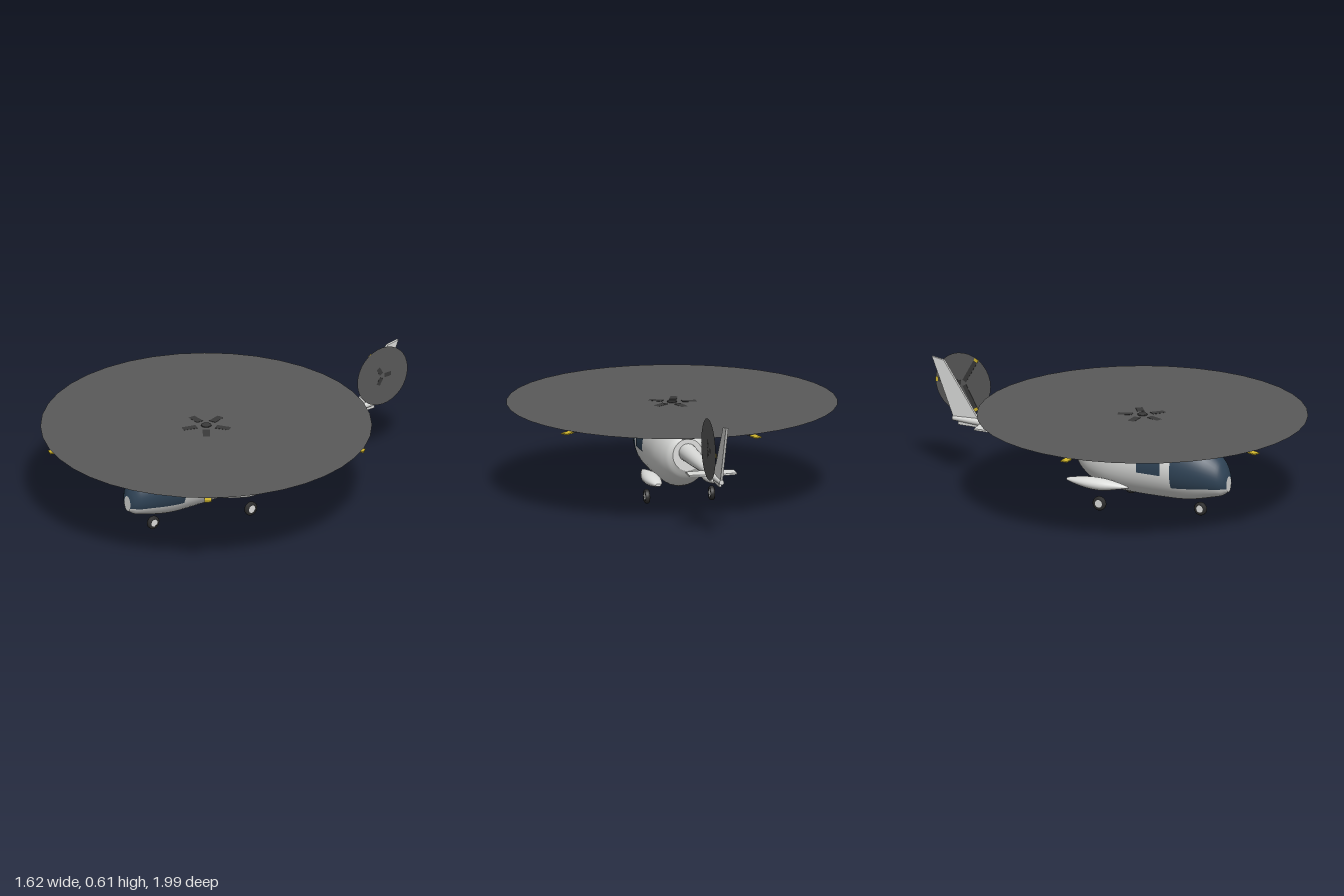
import * as THREE from 'three';

const mat = (name, color, side = THREE.FrontSide) => {
  const m = new THREE.MeshStandardMaterial({ color, side });
  m.name = name;
  return m;
};

// Smooth loft through stations [z, halfWidth, top, bottom], listed front to rear.
// pick(z, j) returns the material index of each quad.
function loft(stations, { sides = 36, steps = 3, pick = () => 0 } = {}) {
  const curve = f => new THREE.CatmullRomCurve3(stations.map(f), false, 'catmullrom', 0.4);
  const spine = curve(s => new THREE.Vector3(s[0], s[2], s[3]));
  const width = curve(s => new THREE.Vector3(s[1], 0, 0));
  const count = (stations.length - 1) * steps;
  const pos = [], faces = [[], []];
  const addRing = i => {
    const p = spine.getPoint(i / count), w = width.getPoint(i / count).x;
    for (let j = 0; j < sides; j++) {
      const a = -Math.PI / 2 + (j / sides) * Math.PI * 2;
      pos.push(w * Math.cos(a), (p.y + p.z) / 2 + ((p.y - p.z) / 2) * Math.sin(a), p.x);
    }
    return p;
  };
  const rings = [];
  for (let i = 0; i <= count; i++) rings.push(addRing(i).x);
  for (let i = 0; i < count; i++) {
    for (let j = 0; j < sides; j++) {
      const k = (j + 1) % sides, a = i * sides, b = a + sides;
      faces[pick((rings[i] + rings[i + 1]) / 2, j)].push(a + j, b + j, a + k, a + k, b + j, b + k);
    }
  }
  // flat end caps with their own vertices
  for (const end of [0, count]) {
    const start = pos.length / 3, p = addRing(end), c = pos.length / 3;
    pos.push(0, (p.y + p.z) / 2, p.x);
    for (let j = 0; j < sides; j++) {
      const k = (j + 1) % sides;
      faces[0].push(c, start + (end ? k : j), start + (end ? j : k));
    }
  }
  const g = new THREE.BufferGeometry();
  g.setAttribute('position', new THREE.Float32BufferAttribute(pos, 3));
  g.setIndex([...faces[0], ...faces[1]]);
  g.addGroup(0, faces[0].length, 0);
  if (faces[1].length) g.addGroup(faces[0].length, faces[1].length, 1);
  g.computeVertexNormals();
  return g;
}

export function createModel() {
  const model = new THREE.Group();
  model.name = 'helicopter';
  const paint = mat('body paint', 0xdcdddb);
  const glass = mat('tinted glass', 0x2f4356, THREE.DoubleSide);
  const blur = mat('rotor grey', 0x5a5a5a, THREE.DoubleSide);
  const dark = mat('rotor dark', 0x3a3a3a);
  const yellow = mat('blade tip yellow', 0xd2b72c);
  const rubber = mat('tyre rubber', 0x2c2c2c);

  const add = (parent, name, geometry, material, x = 0, y = 0, z = 0) => {
    const m = new THREE.Mesh(geometry, material);
    m.name = name;
    m.position.set(x, y, z);
    parent.add(m);
    return m;
  };

  // Fuselage with the glazed cockpit as a material group
  add(model, 'fuselage', loft([
    [0.665, 0.025, 0.22, 0.14], [0.655, 0.045, 0.25, 0.135], [0.63, 0.07, 0.295, 0.118],
    [0.57, 0.101, 0.347, 0.102], [0.5, 0.122, 0.381, 0.085], [0.405, 0.135, 0.398, 0.073],
    [0.2, 0.137, 0.405, 0.07], [0.04, 0.134, 0.405, 0.078], [-0.06, 0.12, 0.392, 0.105],
    [-0.12, 0.1, 0.375, 0.15], [-0.15, 0.075, 0.355, 0.195],
  ], { steps: 4, pick: (z, j) => (z > 0.405 && j >= 6 && j < 30 ? 1 : 0) }), [paint, glass]);

  // Side windows, bent to the fuselage curve
  for (const s of [1, -1]) {
    const g = new THREE.PlaneGeometry(0.13, 0.124, 1, 8);
    const p = g.attributes.position;
    for (let i = 0; i < p.count; i++) {
      const y = p.getY(i) + 0.276, z = 0.29 - s * p.getX(i);
      p.setXYZ(i, s * (0.1385 * Math.sqrt(1 - ((y - 0.237) / 0.169) ** 2) + 0.002), y, z);
    }
    g.computeVertexNormals();
    add(model, s > 0 ? 'leftWindow' : 'rightWindow', g, glass);
  }

  // Engine fairing on the roof
  add(model, 'engineFairing', loft([
    [0.29, 0.02, 0.406, 0.394], [0.2, 0.065, 0.42, 0.37], [0.05, 0.085, 0.423, 0.365],
    [-0.08, 0.08, 0.42, 0.355], [-0.16, 0.065, 0.406, 0.354], [-0.182, 0.048, 0.394, 0.362],
  ]), paint);

  // Tail boom and skid
  add(model, 'tailBoom', loft([
    [-0.13, 0.046, 0.332, 0.241], [-0.35, 0.038, 0.326, 0.255],
    [-0.62, 0.026, 0.319, 0.272], [-0.865, 0.012, 0.309, 0.284],
  ], { sides: 24 }), paint);
  add(model, 'tailSkid', new THREE.BoxGeometry(0.012, 0.025, 0.13), paint, 0, 0.28, -0.77);

  // Flat parts cut from an outline and extruded about their middle
  const plate = (points, depth) => {
    const shape = new THREE.Shape(points.map(p => new THREE.Vector2(...p)));
    return new THREE.ExtrudeGeometry(shape, { depth, bevelEnabled: false }).translate(0, 0, -depth / 2);
  };

  // Swept tail fin: outline in (-z, y)
  add(model, 'tailFin', plate(
    [[0.72, 0.305], [0.86, 0.3], [0.98, 0.595], [0.915, 0.585]], 0.012,
  ).rotateY(Math.PI / 2), paint);

  // Stabilizer: outline in (x, -z)
  add(model, 'stabilizer', plate(
    [[-0.12, 0.61], [0, 0.59], [0.12, 0.61], [0.12, 0.685], [0, 0.703], [-0.12, 0.685]], 0.009,
  ).rotateX(-Math.PI / 2), paint, 0, 0.295, 0);

  // Side sponsons
  const sponson = loft([
    [0.19, 0.003, 0.136, 0.13], [0.13, 0.022, 0.148, 0.116], [0.05, 0.04, 0.158, 0.099],
    [-0.03, 0.042, 0.157, 0.101], [-0.1, 0.03, 0.148, 0.112], [-0.15, 0.014, 0.138, 0.124],
  ], { sides: 24 });
  for (const s of [1, -1]) add(model, s > 0 ? 'leftSponson' : 'rightSponson', sponson, paint, s * 0.148, 0, 0);

  // Wheels: rounded tyre with a pale hub
  const wheel = (name, x, z, r) => {
    const g = new THREE.Group();
    g.name = name;
    g.position.set(x, r, z);
    const profile = [[0.55, -0.011], [0.88, -0.011], [1, -0.006], [1, 0.006], [0.88, 0.011], [0.55, 0.011]];
    add(g, 'tyre', new THREE.LatheGeometry(profile.map(([k, y]) => new THREE.Vector2(k * r, y)), 24), rubber)
      .rotation.z = Math.PI / 2;
    add(g, 'wheelHub', new THREE.CylinderGeometry(r * 0.57, r * 0.57, 0.02, 16), paint).rotation.z = Math.PI / 2;
    model.add(g);
  };
  wheel('noseWheel', 0, 0.508, 0.033);
  wheel('leftMainWheel', 0.163, 0.035, 0.035);
  wheel('rightMainWheel', -0.163, 0.035, 0.035);

  // Rotor: spinning disc with drooping, yellow-tipped blades beneath it
  const rotor = (name, { count, radius, root, tip, chord, thick, droop, start, sides }) => {
    const g = new THREE.Group();
    g.name = name;
    add(g, 'rotorDisc', new THREE.CircleGeometry(radius, sides).rotateX(-Math.PI / 2), blur);
    for (let i = 0; i < count; i++) {
      const blade = new THREE.Group();
      blade.name = 'blade';
      blade.rotation.set(0, start + (i / count) * Math.PI * 2, -Math.atan(droop / radius), 'YXZ');
      const inner = radius - tip - root;
      add(blade, 'bladeSpan', new THREE.BoxGeometry(inner, thick, chord), dark, root + inner / 2);
      add(blade, 'bladeTip', new THREE.BoxGeometry(tip, thick, chord), yellow, radius - tip / 2);
      g.add(blade);
    }
    model.add(g);
    return g;
  };
  const main = rotor('mainRotor', {
    count: 5, radius: 0.81, root: 0.05, tip: 0.05, chord: 0.036, thick: 0.006, droop: 0.02,
    start: Math.PI, sides: 40,
  });
  main.position.set(0, 0.466, 0.185);
  add(main, 'rotorHub', new THREE.CylinderGeometry(0.025, 0.025, 0.022, 16), dark, 0, -0.007, 0);
  add(main, 'mast', new THREE.CylinderGeometry(0.006, 0.006, 0.05, 10), dark, 0, -0.03, 0);

  const tail = rotor('tailRotor', {
    count: 3, radius: 0.153, root: 0.012, tip: 0.016, chord: 0.022, thick: 0.002, droop: 0.003,
    start: Math.PI / 2, sides: 32,
  });
  tail.position.set(0.061, 0.461, -0.842);
  tail.rotation.z = -Math.PI / 2;

  return model;
}
